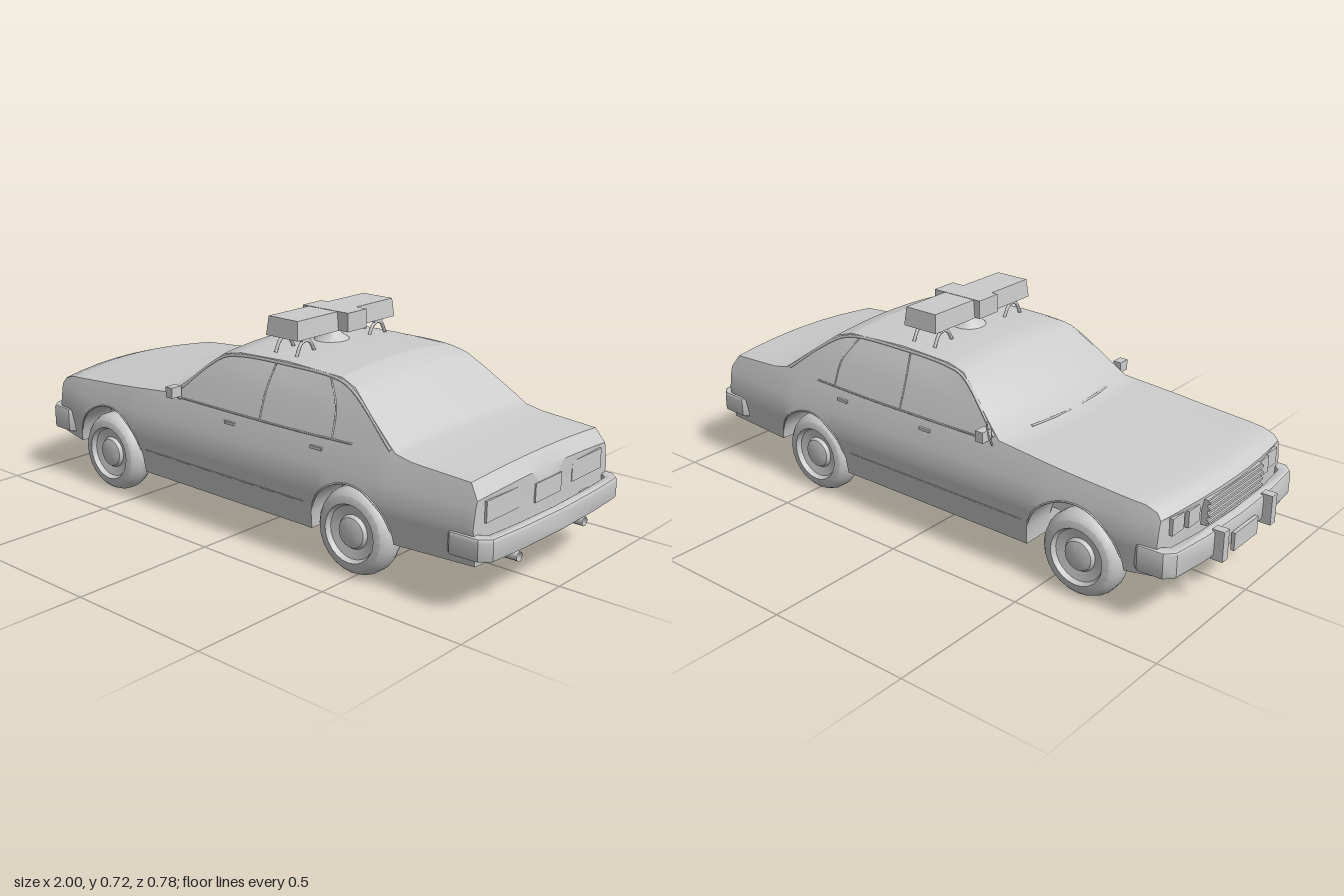
import * as THREE from 'three';
import { toCreasedNormals } from 'three/addons/utils/BufferGeometryUtils.js';

const mat = new THREE.MeshStandardMaterial({ color: 0xcccccc, side: THREE.DoubleSide });
const V = (x, y, z) => new THREE.Vector3(x, y, z);
const WHEELS = [-0.625, 0.49], AXLE_Y = 0.14;
const ARCHES = [[-0.61, 0.175], [0.495, 0.16]]; // centre x, radius

// linear lookup in rows [key, value]
function lookup(rows, k) {
  if (k <= rows[0][0]) return rows[0][1];
  for (let i = 1; i < rows.length; i++) {
    const [a, va] = rows[i - 1], [b, vb] = rows[i];
    if (k <= b) return va + (vb - va) * (k - a) / (b - a);
  }
  return rows[rows.length - 1][1];
}

const TOP = [[-0.895, 0.345], [-0.88, 0.365], [-0.84, 0.378], [-0.6, 0.395], [-0.31, 0.42], [-0.12, 0.575], [-0.05, 0.588],
  [0.15, 0.594], [0.38, 0.586], [0.44, 0.568], [0.64, 0.42], [0.7, 0.408], [0.9, 0.395], [0.93, 0.35]];
const BASE = [[-0.895, 0.165], [-0.785, 0.15], [-0.435, 0.115], [0.335, 0.115], [0.655, 0.15], [0.93, 0.155]];
const WIDTH = [[0.11, 0.36], [0.2, 0.372], [0.27, 0.382], [0.33, 0.372], [0.4, 0.35], [0.5, 0.315], [0.575, 0.282], [0.6, 0.262]];
const TAPER = [[-0.895, 0.94], [-0.8, 0.97], [-0.5, 1], [0.6, 1], [0.93, 0.945]];
const BOW = [[-0.895, -0.04], [-0.6, -0.01], [-0.31, -0.05], [-0.12, -0.01], [0.44, 0], [0.93, 0.012]];
const sideZ = (x, y) => lookup(WIDTH, y) * lookup(TAPER, x);

// one closed cross-section of the body at x
function section(x) {
  const arch = ARCHES.find(([c, r]) => Math.abs(x - c) < r - 0.001);
  const base = lookup(BASE, x);
  const low = arch ? Math.max(base, AXLE_Y + Math.sqrt(arch[1] ** 2 - (x - arch[0]) ** 2)) : base;
  const cabin = x > -0.436 && x < 0.336 && !arch, end = x < -0.885 || x > 0.91;
  const floor = cabin || end ? base : 0.2;
  const top = lookup(TOP, x), belt = Math.min(0.4, top - 0.012);
  const half = [[floor, 0], [floor, 0.25], [low, 0.25]];
  for (const h of [0, 0.16, 0.2, 0.24, 0.27, 0.33, belt]) {
    const y = Math.max(low, h);
    half.push([y, sideZ(x, y)]);
  }
  for (let j = 1; j <= 4; j++) {
    const y = belt + (top - belt) * j / 4;
    half.push([y, sideZ(x, y)]);
  }
  const w = sideZ(x, top), bow = lookup(BOW, x);
  for (const f of [0.95, 0.8, 0.5, 0.25, 0]) half.push([top + 0.018 * (1 - f * f), w * f]);
  // hood, glass, nose and tail bow outwards at the middle
  const ring = half.map(([y, z], i) => [x + (i > 13 || end ? bow * Math.max(0, 1 - (z / w) ** 2) : 0), y, z]);
  return ring.concat(ring.slice(1, -1).reverse().map(([a, y, z]) => [a, y, -z]));
}

function bodyGeometry() {
  const xs = new Set(TOP.map((r) => r[0]));
  [-0.38, -0.25, -0.18, 0.05, 0.25, 0.3, 0.8].forEach((x) => xs.add(x));
  for (const [c, r] of ARCHES) for (let k = 0; k <= 16; k++) xs.add(+(c - r * Math.cos(k * Math.PI / 16)).toFixed(4));
  const rings = [...xs].sort((a, b) => a - b).map(section);
  const n = rings[0].length, pos = rings.flat(2), idx = [];
  for (let i = 0; i < rings.length - 1; i++) for (let j = 0; j < n; j++) {
    const a = i * n + j, b = i * n + (j + 1) % n;
    idx.push(a, a + n, b, b, a + n, b + n);
  }
  // nose and tail caps
  const c = rings.length * n, last = c - n;
  pos.push(-0.935, 0.28, 0, 0.942, 0.28, 0);
  for (let j = 0; j < n; j++) {
    const k = (j + 1) % n;
    idx.push(c, j, k, c + 1, last + k, last + j);
  }
  const g = new THREE.BufferGeometry();
  g.setAttribute('position', new THREE.Float32BufferAttribute(pos, 3));
  g.setIndex(idx);
  return toCreasedNormals(g, 0.6);
}

export function createModel() {
  const car = new THREE.Group();
  car.name = 'car';
  const add = (name, geo, x = 0, y = 0, z = 0) => {
    const m = new THREE.Mesh(geo, mat);
    m.name = name;
    m.position.set(x, y, z);
    car.add(m);
    return m;
  };
  const box = (name, w, h, d, x, y, z) => add(name, new THREE.BoxGeometry(w, h, d), x, y, z);
  const tube = (name, pts, r, sides = 6) => add(name, new THREE.TubeGeometry(
    new THREE.CatmullRomCurve3(pts.map((p) => V(...p)), false, 'centripetal'), pts.length * 5, r, sides));
  const lathe = (pts) => toCreasedNormals(new THREE.LatheGeometry(pts.map((p) => new THREE.Vector2(...p)), 24), 0.7);

  add('body', bodyGeometry());

  // wheels with dished hubs
  const wheelGeo = lathe([[0, -0.05], [0.09, -0.05], [0.118, -0.049], [0.132, -0.034], [0.14, -0.015], [0.14, 0.015], [0.132, 0.034],
    [0.118, 0.049], [0.094, 0.052], [0.086, 0.036], [0.055, 0.03], [0.048, 0.042], [0.03, 0.047], [0, 0.047]]);
  for (const x of WHEELS) for (const s of [1, -1])
    add('wheel', wheelGeo, x, AXLE_Y, s * 0.317).rotation.x = s * Math.PI / 2;

  // wrap-around bumpers: plan outline raised into a bar
  const bumper = (name, half, inset, y, h) => {
    const outer = [...half, ...half.slice(0, -1).reverse().map(([x, z]) => [x, -z])];
    const inner = outer.map(([x, z]) => [x + inset, z * 0.95]).reverse();
    const g = new THREE.ExtrudeGeometry(new THREE.Shape([...outer, ...inner].map((p) => new THREE.Vector2(...p))),
      { depth: h - 0.024, bevelThickness: 0.012, bevelSize: 0.006, bevelSegments: 3 });
    add(name, toCreasedNormals(g.rotateX(-Math.PI / 2), 0.6), 0, y + 0.012, 0);
  };
  bumper('frontBumper', [[-0.84, 0.366], [-0.92, 0.362], [-0.945, 0.335], [-0.96, 0.2], [-0.967, 0]], 0.025, 0.175, 0.085);
  bumper('rearBumper', [[0.86, 0.366], [0.95, 0.362], [0.978, 0.335], [0.988, 0.2], [0.994, 0]], -0.022, 0.18, 0.07);
  box('frontPlate', 0.012, 0.06, 0.14, -0.98, 0.19, 0);
  box('rearPlate', 0.008, 0.06, 0.14, 0.941, 0.3, 0);

  // grille
  box('grilleFrame', 0.02, 0.085, 0.32, -0.928, 0.308, 0);
  for (let i = 0; i < 4; i++) box('grilleBar', 0.01, 0.008, 0.32, -0.94, 0.278 + i * 0.021, 0);

  for (const s of [1, -1]) {
    box('bumperGuard', 0.04, 0.1, 0.03, -0.978, 0.215, s * 0.145);
    box('frontBumperBracket', 0.05, 0.03, 0.05, -0.925, 0.215, s * 0.22);
    box('rearBumperBracket', 0.05, 0.03, 0.05, 0.95, 0.215, s * 0.22);
    // lamps
    box('innerHeadlight', 0.02, 0.055, 0.062, -0.912, 0.313, s * 0.205);
    box('outerHeadlight', 0.02, 0.055, 0.062, -0.902, 0.313, s * 0.275);
    box('tailLight', 0.012, 0.065, 0.17, 0.933, 0.31, s * 0.225);

    // door mirrors
    box('mirror', 0.03, 0.036, 0.042, -0.27, 0.437, s * 0.37);
    tube('mirrorArm', [[-0.265, 0.405, s * 0.34], [-0.268, 0.425, s * 0.36]], 0.006);

    // handles, window trim and sill strip
    for (const x of [-0.02, 0.35]) box('doorHandle', 0.045, 0.01, 0.012, x, 0.378, s * 0.357);
    const trim = (name, pts, r) => tube(name, pts.map(([x, y]) => [x, y, s * sideZ(x, y)]), r);
    trim('beltTrim', [[-0.26, 0.412], [0, 0.41], [0.25, 0.41], [0.48, 0.415]], 0.003);
    trim('roofTrim', [[-0.29, 0.425], [-0.12, 0.565], [-0.05, 0.58], [0.15, 0.586], [0.38, 0.578], [0.45, 0.55], [0.62, 0.425]], 0.005);
    trim('doorPillar', [[0.1, 0.41], [0.1, 0.5], [0.11, 0.58]], 0.003);
    trim('rearWindowPost', [[0.4, 0.41], [0.39, 0.5], [0.34, 0.578]], 0.003);
    trim('sillTrim', [[-0.42, 0.2], [-0.1, 0.2], [0.31, 0.2]], 0.002);
    for (const [c, r] of ARCHES) {
      const arc = [];
      for (let k = 1; k < 10; k++) {
        const a = k * Math.PI / 10;
        arc.push([c - r * Math.cos(a), AXLE_Y + r * Math.sin(a)]);
      }
      trim('archLip', arc, 0.003);
    }
    tube('wiper', [[-0.36, 0.435, s * 0.02 - 0.02], [-0.355, 0.437, s * 0.11 - 0.02], [-0.34, 0.435, s * 0.2 - 0.02]], 0.004);

    // exhaust
    tube('exhaustPipe', [[0.3, 0.13, s * 0.13], [0.42, 0.19, s * 0.15], [0.55, 0.19, s * 0.18], [0.64, 0.15, s * 0.18]], 0.012, 8);
    add('muffler', new THREE.CylinderGeometry(0.026, 0.026, 0.2, 12).rotateZ(Math.PI / 2), 0.74, 0.15, s * 0.18);
    add('tailpipe', new THREE.CylinderGeometry(0.015, 0.015, 0.14, 10, 1, true).rotateZ(Math.PI / 2), 0.9, 0.145, s * 0.18);

    // suspension
    tube('trailingArm', [[0.32, 0.13, s * 0.22], [0.49, 0.125, s * 0.22]], 0.012);
    for (const x of [-0.69, -0.56]) {
      tube('frontControlArm', [[x, 0.14, s * 0.12], [-0.625, 0.095, s * 0.19]], 0.011);
      tube('frontLowerLink', [[x, 0.13, s * 0.27], [-0.625, 0.095, s * 0.19]], 0.011);
    }
    tube('shockAbsorber', [[0.52, 0.1, s * 0.2], [0.56, 0.22, s * 0.17]], 0.013);
    tube('frontSpring', [[-0.625, 0.1, s * 0.19], [-0.625, 0.21, s * 0.19]], 0.022, 8);
  }

  // axles and driveline
  tube('rearAxle', [[0.49, AXLE_Y, -0.28], [0.49, AXLE_Y, 0.28]], 0.016, 8);
  add('differential', new THREE.SphereGeometry(0.045, 12, 8), 0.49, AXLE_Y, 0).scale.set(1, 0.72, 1.6);
  tube('driveShaft', [[0.3, 0.135, 0], [0.49, 0.14, 0]], 0.014, 8);
  tube('steeringRod', [[-0.56, 0.14, -0.28], [-0.54, 0.14, 0], [-0.56, 0.14, 0.28]], 0.01);
  box('frontCrossMember', 0.08, 0.05, 0.24, -0.625, 0.175, 0);
  box('oilPan', 0.18, 0.06, 0.14, -0.56, 0.175, 0);

  // antenna
  tube('antenna', [[-0.29, 0.4, -0.35], [-0.285, 0.44, -0.364], [-0.28, 0.482, -0.366]], 0.003);

  // roof light bar
  for (const s of [1, -1]) {
    const g = new THREE.BoxGeometry(0.135, 0.062, 0.195), p = g.attributes.position;
    // tops narrow slightly, outer ends lean inwards
    for (let i = 0; i < p.count; i++) if (p.getY(i) > 0) {
      p.setX(i, p.getX(i) * 0.92);
      if (p.getZ(i) * s > 0) p.setZ(i, p.getZ(i) - s * 0.007);
    }
    g.computeVertexNormals();
    add('lightPod', g, 0.1, 0.686, s * 0.144);
    for (const x of [0.055, 0.145])
      tube('lightBarFoot', [[x, 0.6, s * 0.135], [x, 0.636, s * 0.158], [x, 0.644, s * 0.18], [x, 0.636, s * 0.2], [x, 0.598, s * 0.222]], 0.006);
    box('footPad', 0.1, 0.014, 0.04, 0.1, 0.65, s * 0.18);
  }
  box('lightBarCentre', 0.195, 0.062, 0.092, 0.11, 0.687, 0);
  add('lightBarPedestal', lathe([[0.066, 0.6], [0.055, 0.615], [0.03, 0.632], [0.022, 0.645], [0.032, 0.66]]), 0.1, 0, 0);
  return car;
}
